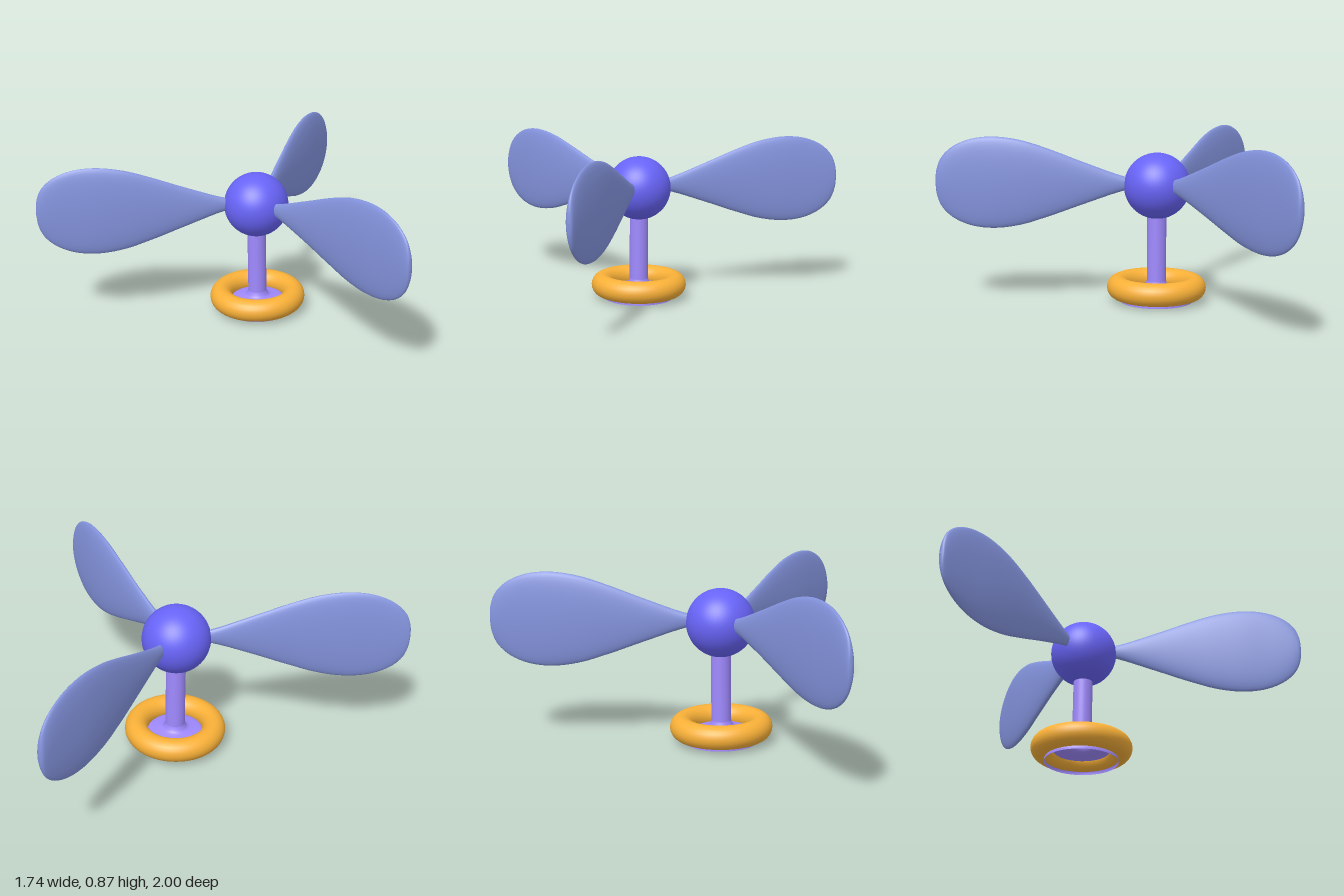
import * as THREE from 'three';

const mat = (color) => new THREE.MeshStandardMaterial({ color });
const HUB_Y = 0.61;

// Paddle blade along +x: elliptical cross-sections lofted from root to tip
function bladeGeometry() {
  // x = distance from hub axis, y = half width, z = half thickness
  const path = new THREE.CatmullRomCurve3([
    [0.08, 0.022, 0.017], [0.17, 0.037, 0.02], [0.38, 0.109, 0.026], [0.565, 0.177, 0.032],
    [0.705, 0.22, 0.036], [0.845, 0.238, 0.036], [0.965, 0.225, 0.031], [1.06, 0.184, 0.026],
    [1.118, 0.128, 0.021], [1.143, 0.066, 0.015], [1.15, 0, 0],
  ].map((p) => new THREE.Vector3(...p)), false, 'centripetal');
  const rings = 64, sides = 40;
  const pos = [], index = [];
  for (let i = 0; i <= rings; i++) {
    const p = path.getPoint(i / rings);
    const bow = -0.025 * Math.sin(Math.PI * Math.min(1, (p.x - 0.08) / 1.2));
    const lift = 0.01 + 0.009 * Math.min(1, p.x / 0.6);
    for (let j = 0; j < sides; j++) {
      const a = (j / sides) * Math.PI * 2;
      pos.push(p.x, lift + Math.max(0, p.y) * Math.cos(a), bow + Math.max(0, p.z) * Math.sin(a));
      if (i < rings) {
        const k = (j + 1) % sides, A = i * sides + j, B = i * sides + k;
        index.push(A, B, A + sides, B, B + sides, A + sides);
      }
    }
  }
  const g = new THREE.BufferGeometry();
  g.setAttribute('position', new THREE.Float32BufferAttribute(pos, 3));
  g.setIndex(index);
  g.computeVertexNormals();
  return g;
}

export function createModel() {
  const model = new THREE.Group();
  model.name = 'propeller';
  const add = (name, geo, material, y = 0) => {
    const m = new THREE.Mesh(geo, material);
    m.name = name;
    m.position.set(-0.284, y, 0); // hub axis sits off-centre
    model.add(m);
    return m;
  };

  // Round hub
  add('hub', new THREE.SphereGeometry(0.172, 48, 32), mat(0x6864f8), HUB_Y);

  // Hollow stem flaring into a shallow open foot
  const flare = new THREE.SplineCurve([
    [0.19, 0], [0.187, 0.018], [0.168, 0.044], [0.135, 0.062], [0.09, 0.071], [0.062, 0.083], [0.05, 0.11],
  ].map((p) => new THREE.Vector2(...p))).getPoints(24);
  const stemMat = mat(0xa08aff);
  stemMat.side = THREE.DoubleSide;
  add('stem', new THREE.LatheGeometry([...flare, new THREE.Vector2(0.05, 0.3), new THREE.Vector2(0.05, 0.5)], 48), stemMat);

  // Ring around the foot
  const ring = add('baseRing', new THREE.TorusGeometry(0.2, 0.06, 24, 64), mat(0xf8b038), 0.075);
  ring.rotation.x = Math.PI / 2;

  // Three blades, evenly spaced around the hub
  const geo = bladeGeometry();
  const bladeMat = mat(0x8494de);
  for (let i = 0; i < 3; i++) {
    add('blade' + (i + 1), geo, bladeMat, HUB_Y).rotation.y = (i * Math.PI * 2) / 3;
  }
  return model;
}
